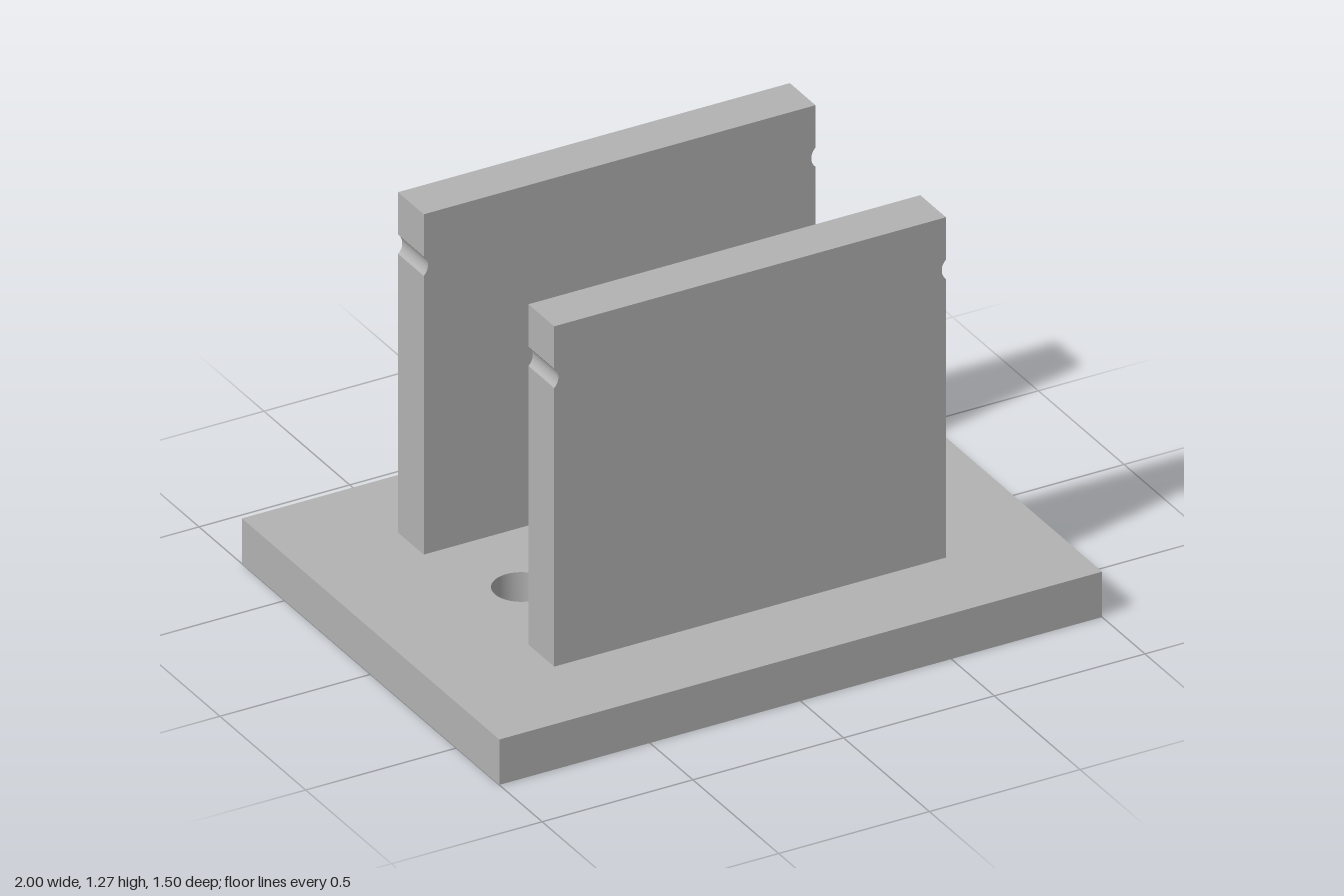
import * as THREE from 'three';
import { toCreasedNormals } from 'three/addons/utils/BufferGeometryUtils.js';

const BASE_HEIGHT = 0.15;

// Extrudes a shape and smooths only its curved walls
function extrude(shape, depth) {
  const geometry = new THREE.ExtrudeGeometry(shape, { depth, bevelEnabled: false, curveSegments: 24 });
  return toCreasedNormals(geometry, 0.5);
}

// Rectangular base plate with two round through holes
function baseGeometry() {
  const shape = new THREE.Shape([
    new THREE.Vector2(-1, -0.75), new THREE.Vector2(1, -0.75),
    new THREE.Vector2(1, 0.75), new THREE.Vector2(-1, 0.75),
  ]);
  for (const x of [-0.5, 0.5]) {
    shape.holes.push(new THREE.Path().absarc(x, 0, 0.0875, 0, Math.PI * 2, true));
  }
  return extrude(shape, BASE_HEIGHT).rotateX(-Math.PI / 2);
}

// Upright plate with a shallow round notch in each side edge
function uprightGeometry() {
  const half = 0.65, top = 1.275, notchY = 1.103;
  const halfNotch = 0.032, depth = 0.014;
  const radius = (halfNotch ** 2 + depth ** 2) / (2 * depth);
  const angle = Math.asin(halfNotch / radius);
  const centre = half - depth + radius;

  const shape = new THREE.Shape();
  shape.moveTo(-half, BASE_HEIGHT);
  shape.lineTo(half, BASE_HEIGHT);
  shape.absarc(centre, notchY, radius, Math.PI + angle, Math.PI - angle, true);
  shape.lineTo(half, top);
  shape.lineTo(-half, top);
  shape.absarc(-centre, notchY, radius, angle, -angle, true);
  shape.closePath();
  return extrude(shape, 0.15).translate(0, 0, -0.075);
}

export function createModel() {
  const model = new THREE.Group();
  model.name = 'twinPlateBracket';
  const grey = new THREE.MeshStandardMaterial({ color: 0xb2b2b2 });
  grey.name = 'grey';

  const base = new THREE.Mesh(baseGeometry(), grey);
  base.name = 'basePlate';
  model.add(base);

  // Matching uprights at front and back
  const geometry = uprightGeometry();
  for (const [name, z] of [['frontUpright', 0.38], ['backUpright', -0.38]]) {
    const upright = new THREE.Mesh(geometry, grey);
    upright.name = name;
    upright.position.z = z;
    model.add(upright);
  }
  return model;
}
